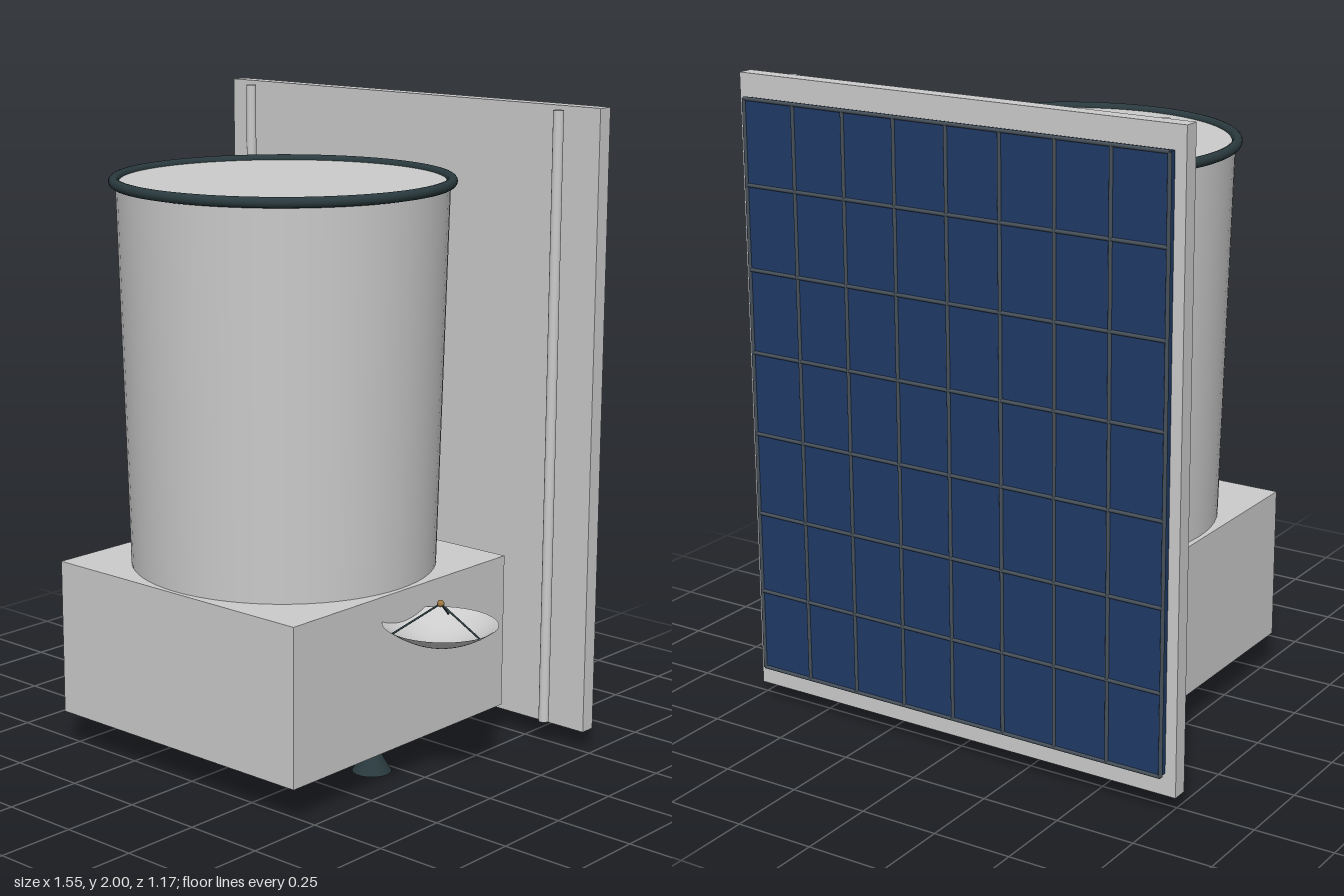
import * as THREE from 'three';

const CX = -0.0275, CZ = 0.06;
const mat = (color, side = THREE.FrontSide) => new THREE.MeshStandardMaterial({ color, side });

export function createModel() {
  const model = new THREE.Group();
  const grey = mat(0xcccccc), greyThin = mat(0xcccccc, THREE.DoubleSide);
  const dark = mat(0x2a3a3e), darkThin = mat(0x2a3a3e, THREE.DoubleSide);
  const blue = mat(0x1f3a66), brass = mat(0xa07840), wire = mat(0x46505a);

  const add = (name, geometry, material, x = 0, y = 0, z = 0, parent = model) => {
    const mesh = new THREE.Mesh(geometry, material);
    mesh.name = name;
    mesh.position.set(x, y, z);
    parent.add(mesh);
    return mesh;
  };
  // round bar between two points
  const bar = (name, a, b, r, material, parent = model) => {
    const d = b.clone().sub(a);
    const mesh = add(name, new THREE.CylinderGeometry(r, r, d.length(), 10), material, 0, 0, 0, parent);
    mesh.position.copy(a).add(b).multiplyScalar(0.5);
    mesh.quaternion.setFromUnitVectors(new THREE.Vector3(0, 1, 0), d.normalize());
    return mesh;
  };
  const v = (x, y, z) => new THREE.Vector3(x, y, z);

  // body
  add('equipmentBox', new THREE.BoxGeometry(0.975, 0.49, 0.972), grey, CX, 0.355, CZ);
  add('barrel', new THREE.CylinderGeometry(0.502, 0.472, 1.18, 64), grey, CX, 1.19, CZ);
  add('barrelRim', new THREE.TorusGeometry(0.506, 0.016, 16, 80), dark, CX, 1.78, CZ)
    .rotation.x = Math.PI / 2;

  // rear shield with its two upright rods
  add('shield', new THREE.BoxGeometry(1.495, 1.94, 0.05), grey, CX, 1.03, -0.53);
  for (const side of [-1, 1])
    add('shieldRod', new THREE.CylinderGeometry(0.016, 0.016, 1.91, 20), grey, CX + side * 0.627, 1.035, -0.462);

  // solar panel with a grid of thin bars
  const solar = new THREE.Group();
  solar.name = 'solarPanel';
  model.add(solar);
  const w = 1.425, y0 = 0.13, y1 = 1.93, cols = 8, rows = 7, gz = -0.583;
  add('solarSheet', new THREE.BoxGeometry(w, y1 - y0, 0.028), blue, CX, (y0 + y1) / 2, -0.569, solar);
  for (let i = 0; i <= cols; i++) {
    const x = CX - w / 2 + (w * i) / cols;
    bar('columnBar', v(x, y0, gz), v(x, y1, gz), 0.006, wire, solar);
  }
  for (let i = 0; i <= rows; i++) {
    const y = y0 + ((y1 - y0) * i) / rows;
    bar('rowBar', v(CX - w / 2, y, gz), v(CX + w / 2, y, gz), 0.006, wire, solar);
  }

  // flared nozzles under the box
  const bell = [[0.061, 0], [0.05, 0.018], [0.036, 0.042], [0.025, 0.066], [0.018, 0.086], [0.017, 0.1]]
    .map(([r, y]) => new THREE.Vector2(r, y));
  for (const side of [-1, 1]) {
    const x = CX + side * 0.368;
    add('nozzle', new THREE.LatheGeometry(bell, 32), darkThin, x, 0, CZ + 0.003);
    add('nozzleNeck', new THREE.CylinderGeometry(0.015, 0.015, 0.03, 20), brass, x, 0.1, CZ + 0.003);
  }

  // dish antenna opening upward, with a feed on three struts
  const antenna = new THREE.Group();
  antenna.name = 'antenna';
  antenna.position.set(0.6, 0.46, CZ);
  model.add(antenna);
  const bowl = (r) => 0.064 * (r / 0.172) ** 2;
  const dish = [];
  for (let i = 0; i <= 12; i++) {
    const r = (0.172 * i) / 12;
    dish.push(new THREE.Vector2(r, bowl(r)));
  }
  add('dish', new THREE.LatheGeometry(dish, 48), greyThin, 0, 0, 0, antenna);
  add('feed', new THREE.SphereGeometry(0.011, 16, 12), brass, 0, 0.127, 0, antenna);
  for (let i = 0; i < 3; i++) {
    const a = (i * 2 * Math.PI) / 3;
    bar('feedStrut', v(0.15 * Math.cos(a), bowl(0.15), 0.15 * Math.sin(a)), v(0, 0.127, 0), 0.003, dark, antenna);
  }
  return model;
}
